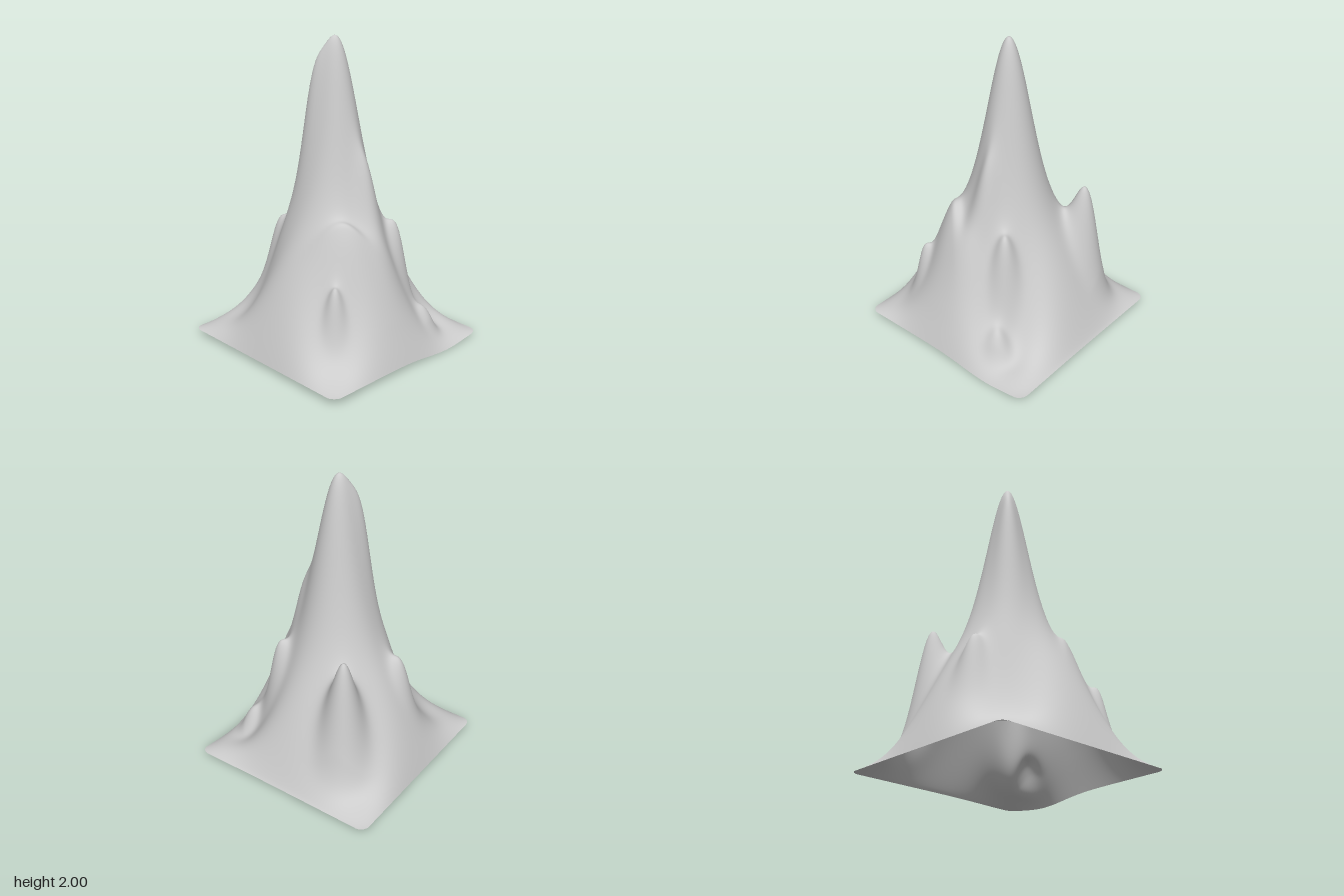
import * as THREE from 'three';

const HALF = 0.665;   // half width of the square sheet
const CORNER = 0.06;  // corner rounding
const EDGE = 0.04;    // height of the rim

// Spurs and knolls: x, z, height, radius
const knolls = [
  [0, 0, 0.952, 0.125],         // main summit
  [-0.1, 0.115, 0.29, 0.056],   // shoulder under the summit
  [-0.22, 0.2, 0.09, 0.085],    // spur joining the left knoll
  [0.25, -0.03, 0.19, 0.056],   // right shoulder
  [0.4, 0, 0.09, 0.075],        // spur below the right shoulder
  [-0.32, -0.39, 0.56, 0.079],  // back left pinnacle
  [-0.41, 0.135, 0.18, 0.054],  // left knoll
  [0.32, -0.24, 0.27, 0.056],   // right knoll
  [0.49, -0.33, 0.12, 0.053],   // low right knoll
  [0.4, 0.4, 0.175, 0.04],      // front knoll
];

// Hollows that flatten the skirt in the corners: x, z, strength, radius
const hollows = [
  [0.485, -0.41, 0.71, 0.17],
  [-0.45, 0.46, 0.62, 0.19],
  [-0.5, -0.5, 0.5, 0.17],
  [0.54, 0.54, 0.5, 0.16],
];

const bell = (x, z, cx, cz, r) => Math.exp(-((x - cx) ** 2 + (z - cz) ** 2) / (2 * r * r));

function heightAt(x, z) {
  // Broad skirt, steep at mid-edges and flat in the corners
  const fx = Math.max(0, 1 - (x / HALF) ** 2);
  const fz = Math.max(0, 1 - (z / HALF) ** 2) ** (z < 0 ? 1.2 : 1);
  let skirt = fx * fz;
  for (const [cx, cz, s, r] of hollows) skirt *= 1 - s * bell(x, z, cx, cz, r);

  let bumps = 0;
  for (const [cx, cz, h, r] of knolls) bumps += h * bell(x, z, cx, cz, r);

  // Diagonal ledge on the front right, gentler on its outer side
  const along = (x - 0.315 - (z - 0.215)) * Math.SQRT1_2;
  const across = (x - 0.315 + (z - 0.215)) * Math.SQRT1_2;
  bumps += 0.15 * Math.exp(-((along / 0.18) ** 2) - (across / (across > 0 ? 0.12 : 0.065)) ** 2);

  // Bumps fade out at the rim, which sags on the right
  const fade = Math.min(1, 4 * fx * fz);
  const sag = 0.04 * Math.exp(-(((x - HALF) / 0.35) ** 2) - ((z + 0.36) / 0.26) ** 2);
  return EDGE + skirt + bumps * fade - sag;
}

// Pull points in the corner cells of the square onto a quarter disc
function roundCorner(x, z) {
  const inner = HALF - CORNER;
  const dx = Math.abs(x) - inner, dz = Math.abs(z) - inner;
  if (dx <= 0 || dz <= 0) return [x, z];
  const k = Math.max(dx, dz) / Math.hypot(dx, dz);
  return [Math.sign(x) * (inner + dx * k), Math.sign(z) * (inner + dz * k)];
}

export function createModel() {
  const geometry = new THREE.PlaneGeometry(2 * HALF, 2 * HALF, 160, 160);
  geometry.rotateX(-Math.PI / 2);
  const pos = geometry.attributes.position;
  for (let i = 0; i < pos.count; i++) {
    const [x, z] = roundCorner(pos.getX(i), pos.getZ(i));
    pos.setXYZ(i, x, heightAt(x, z), z);
  }
  geometry.computeVertexNormals();

  const mountain = new THREE.Mesh(
    geometry,
    new THREE.MeshStandardMaterial({ color: 0xcccccc, side: THREE.DoubleSide })
  );
  mountain.name = 'mountain';

  const model = new THREE.Group();
  model.name = 'mountainTerrain';
  model.add(mountain);
  return model;
}
